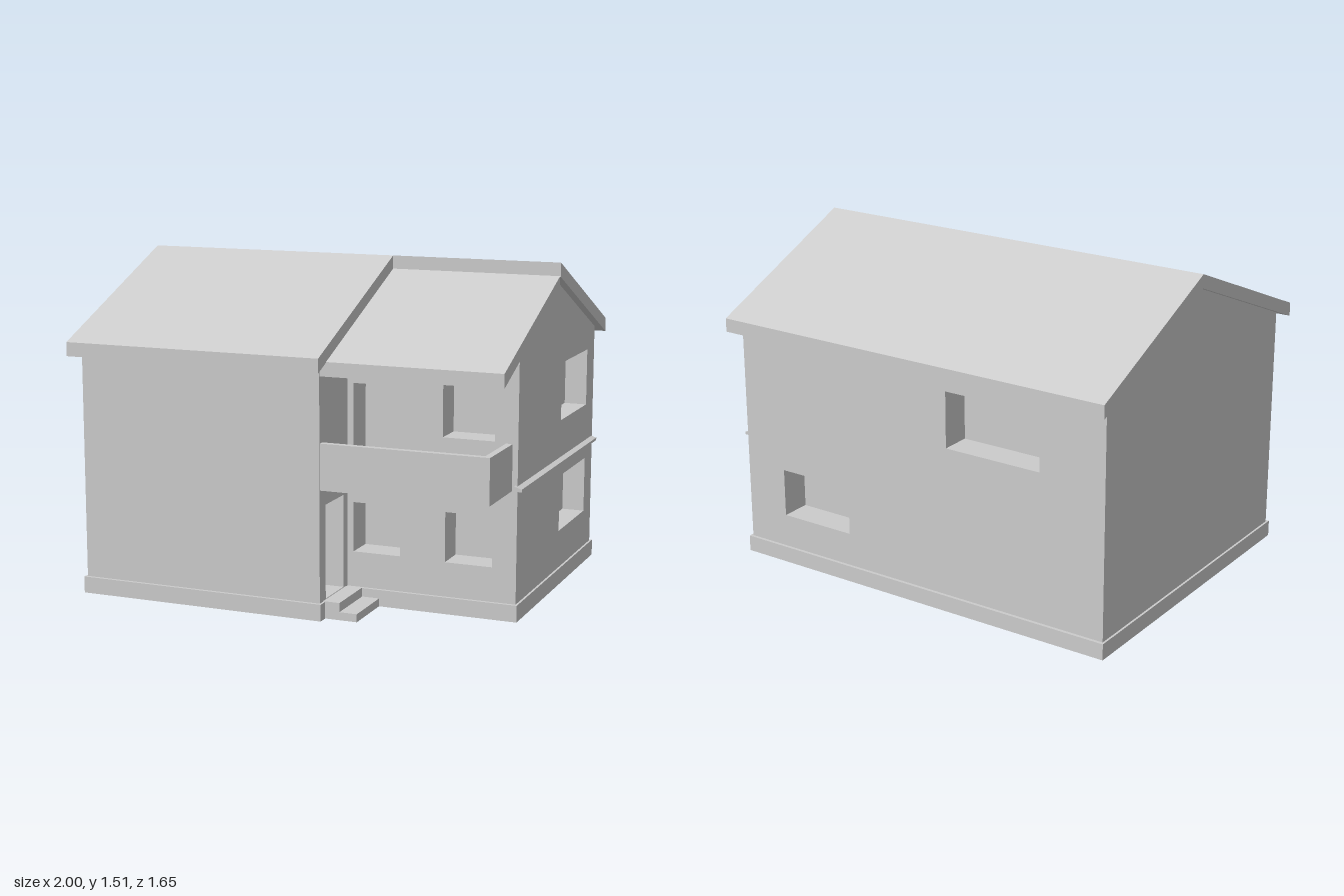
import * as THREE from 'three';

const grey = new THREE.MeshStandardMaterial({ color: 0xcccccc, flatShading: true });
const open = new THREE.MeshStandardMaterial({ color: 0xcccccc, flatShading: true, side: THREE.DoubleSide });

// Roof underside: ridge height and the two slopes
const RIDGE_Z = -0.035, UNDER = 1.445, THICK = 0.063;
const under = z => z > RIDGE_Z ? UNDER - 0.405 * (z - RIDGE_Z) : UNDER + 0.437 * (z - RIDGE_Z);

const shapeOf = pts => new THREE.Shape(pts.map(p => new THREE.Vector2(p[0], p[1])));

function mesh(name, geometry, material = grey) {
  const m = new THREE.Mesh(geometry, material);
  m.name = name;
  return m;
}

// Box given by its minimum and maximum corners
function box(name, x0, x1, y0, y1, z0, z1) {
  const g = new THREE.BoxGeometry(x1 - x0, y1 - y0, z1 - z0);
  g.translate((x0 + x1) / 2, (y0 + y1) / 2, (z0 + z1) / 2);
  return mesh(name, g);
}

// Flat wall facing local +z; openings are [u0, u1, v0, v1] with a closed recess behind
function wall(name, outline, openings = [], depth = 0.1) {
  const group = new THREE.Group();
  group.name = name;
  const shape = shapeOf(outline);
  for (const [u0, u1, v0, v1] of openings) {
    shape.holes.push(new THREE.Path([[u0, v0], [u0, v1], [u1, v1], [u1, v0]].map(p => new THREE.Vector2(...p))));
    const g = new THREE.BoxGeometry(u1 - u0, v1 - v0, depth);
    const index = Array.from(g.index.array);
    index.splice(24, 6); // leave the outer face open
    g.setIndex(index);
    g.clearGroups();
    g.translate((u0 + u1) / 2, (v0 + v1) / 2, -depth / 2);
    group.add(mesh('recess', g, open));
  }
  group.add(mesh('wallFace', new THREE.ShapeGeometry(shape), open));
  return group;
}

// Sloping slab: a (z, y) profile swept along x
function slab(name, profile, x0, x1) {
  const g = new THREE.ExtrudeGeometry(shapeOf(profile.map(([z, y]) => [-z, y])), { depth: x1 - x0, bevelEnabled: false });
  g.rotateY(Math.PI / 2);
  g.translate(x0, 0, 0);
  return mesh(name, g);
}

export function createModel() {
  const house = new THREE.Group();
  house.name = 'house';

  // Plinth with an L-shaped plan
  const plan = [[-0.98, -0.76], [0.19, -0.76], [0.19, -0.45], [0.975, -0.45], [0.975, 0.77], [-0.98, 0.77]];
  const plinth = new THREE.ExtrudeGeometry(shapeOf(plan), { depth: 0.075, bevelEnabled: false });
  plinth.rotateX(-Math.PI / 2);
  house.add(mesh('plinth', plinth));

  // Front walls: projecting block and set-back wing
  const front = wall('frontBlockWall', [[-0.97, 0], [0.18, 0], [0.18, under(0.745)], [-0.97, under(0.745)]]);
  front.position.z = 0.745;
  const wing = wall('frontWingWall', [[0.18, 0], [0.965, 0], [0.965, under(0.435)], [0.18, under(0.435)]], [
    [0.21, 0.43, 0.235, 0.46],
    [0.64, 0.855, 0.23, 0.455],
    [0.21, 0.43, 0.6, 0.995],
    [0.625, 0.86, 0.785, 1.03],
  ], 0.14);
  wing.position.z = 0.435;

  // Back wall
  const back = wall('backWall', [[-0.965, 0], [0.97, 0], [0.97, under(-0.755)], [-0.965, under(-0.755)]], [
    [-0.755, -0.377, 0.23, 0.455],
    [0.17, 0.65, 0.77, 1.03],
  ], 0.14);
  back.rotation.y = Math.PI;
  back.position.z = -0.755;

  // Gable walls and the entrance wall beside the balcony
  const leftGable = wall('windowGable',
    [[-0.435, 0], [0.755, 0], [0.755, under(-0.755)], [-RIDGE_Z, UNDER], [-0.435, under(0.435)]],
    [[0.21, 0.635, 0.25, 0.51], [0.21, 0.635, 0.77, 1.035]], 0.105);
  leftGable.rotation.y = Math.PI / 2;
  leftGable.position.x = 0.965;
  const rightGable = wall('blankGable',
    [[-0.755, 0], [0.745, 0], [0.745, under(0.745)], [RIDGE_Z, UNDER], [-0.755, under(-0.755)]]);
  rightGable.rotation.y = -Math.PI / 2;
  rightGable.position.x = -0.97;
  const entrance = wall('entranceWall',
    [[-0.745, 0], [-0.435, 0], [-0.435, under(0.435)], [-0.745, under(0.745)]],
    [[-0.68, -0.48, 0.08, 0.5]]);
  entrance.rotation.y = Math.PI / 2;
  entrance.position.x = 0.18;
  house.add(front, wing, back, leftGable, rightGable, entrance);

  // Roof slabs; the one over the wing sits one thickness lower
  const slope = (z, drop) => [
    [RIDGE_Z, UNDER + THICK - drop], [z, under(z) + THICK - drop],
    [z, under(z) - drop], [RIDGE_Z, UNDER - drop],
  ];
  house.add(
    slab('backRoof', slope(-0.825, 0), -1, 1),
    slab('frontRoof', slope(0.825, 0).reverse(), -1, 0.21),
    slab('wingRoof', slope(0.742, THICK - 0.003).reverse(), 0.18, 0.997),
  );

  // Balcony: floor and parapets
  const balcony = new THREE.Group();
  balcony.name = 'balcony';
  balcony.add(
    box('balconyFloor', 0.18, 0.91, 0.575, 0.605, 0.435, 0.71),
    box('frontParapet', 0.18, 0.94, 0.575, 0.78, 0.71, 0.74),
    box('sideParapet', 0.91, 0.94, 0.575, 0.78, 0.435, 0.71),
  );
  house.add(balcony);

  // Entrance steps
  house.add(
    box('upperStep', 0.18, 0.257, 0, 0.077, 0.45, 0.71),
    box('lowerStep', 0.257, 0.338, 0, 0.036, 0.45, 0.71),
  );

  // Sloping ledge between the storeys
  const ledge = new THREE.ExtrudeGeometry(
    shapeOf([[0.955, 0.578], [0.99, 0.578], [0.99, 0.59], [0.955, 0.601]]), { depth: 1.2, bevelEnabled: false });
  ledge.translate(0, 0, -0.745);
  house.add(mesh('storeyLedge', ledge));

  return house;
}
